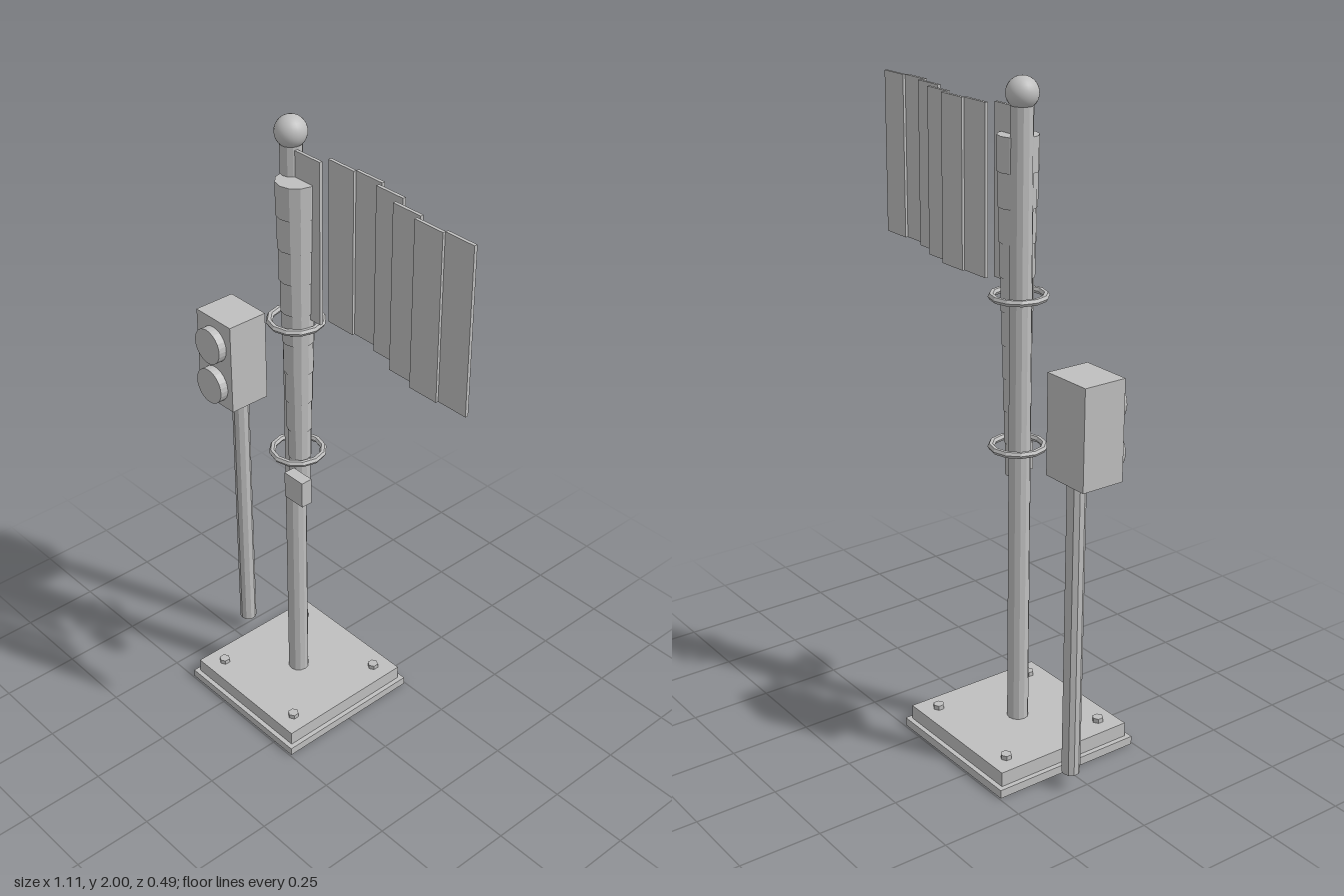
import * as THREE from 'three';

export function createModel() {
  const model = new THREE.Group();
  const grey = new THREE.MeshStandardMaterial({ color: 0xbfbfbf });
  grey.name = 'grey';
  const greyFlat = grey.clone(); // same colour, faceted parts
  greyFlat.flatShading = true;

  const add = (name, geometry, x, y, z, material = greyFlat) => {
    const mesh = new THREE.Mesh(geometry, material);
    mesh.name = name;
    mesh.position.set(x, y, z);
    model.add(mesh);
    return mesh;
  };
  // Box given by its lower and upper corners
  const box = (name, x0, x1, y0, y1, z0, z1) =>
    add(name, new THREE.BoxGeometry(x1 - x0, y1 - y0, z1 - z0),
      (x0 + x1) / 2, (y0 + y1) / 2, (z0 + z1) / 2);
  // Upright cylinder from y0 to y1
  const column = (name, r, y0, y1, x, z, sides) =>
    add(name, new THREE.CylinderGeometry(r, r, y1 - y0, sides), x, (y0 + y1) / 2, z);

  // Stepped base with four hexagonal bolts
  const px = -0.165;
  box('baseLower', px - 0.245, px + 0.245, 0, 0.026, -0.245, 0.245);
  box('baseUpper', px - 0.23, px + 0.23, 0.026, 0.071, -0.23, 0.23);
  for (const sx of [-1, 1])
    for (const sz of [-1, 1])
      column('baseBolt', 0.017, 0.071, 0.085, px + sx * 0.172, sz * 0.172, 6);

  // Main pole and ball finial
  column('mainPole', 0.032, 0.071, 1.93, px, 0, 12);
  add('finial', new THREE.SphereGeometry(0.046, 24, 16), px, 1.954, 0, grey);

  // Rippling flag made of upright strips
  [0.008, -0.023, -0.031, -0.01, 0.025, 0.046, 0.038].forEach((z, i) => {
    const x = -0.135 + i * 0.0985;
    box('flagStrip', x, x + 0.0985, 1.42, 1.912, z - 0.005, z + 0.005);
  });

  // Rolled sleeve: stacked segments narrowing downwards
  const segments = 10, top = 1.835, height = 0.099;
  for (let i = 0; i < segments; i++) {
    const r = 0.059 - (0.027 * i) / (segments - 1);
    column('sleeveSegment', r, top - (i + 1) * height, top - i * height, -0.122, 0.02, 12);
  }

  // Rings binding the sleeve to the pole
  for (const y of [1.39, 0.943]) {
    const ring = add('bindingRing', new THREE.TorusGeometry(0.077, 0.01, 6, 12), -0.145, y, 0.008);
    ring.rotation.x = Math.PI / 2;
  }

  // Small tag box at the foot of the sleeve
  box('tagBox', -0.105, -0.027, 0.835, 0.92, 0.058, 0.095);

  // Signal post, housing and two round lamps
  column('signalPost', 0.027, 0.055, 0.965, -0.482, -0.048, 10);
  box('signalHousing', -0.56, -0.402, 0.964, 1.26, -0.09, 0.046);
  for (const y of [1.173, 1.033]) {
    const lamp = add('signalLamp', new THREE.CylinderGeometry(0.058, 0.058, 0.03, 24), -0.481, y, 0.058);
    lamp.rotation.x = Math.PI / 2;
  }

  return model;
}
